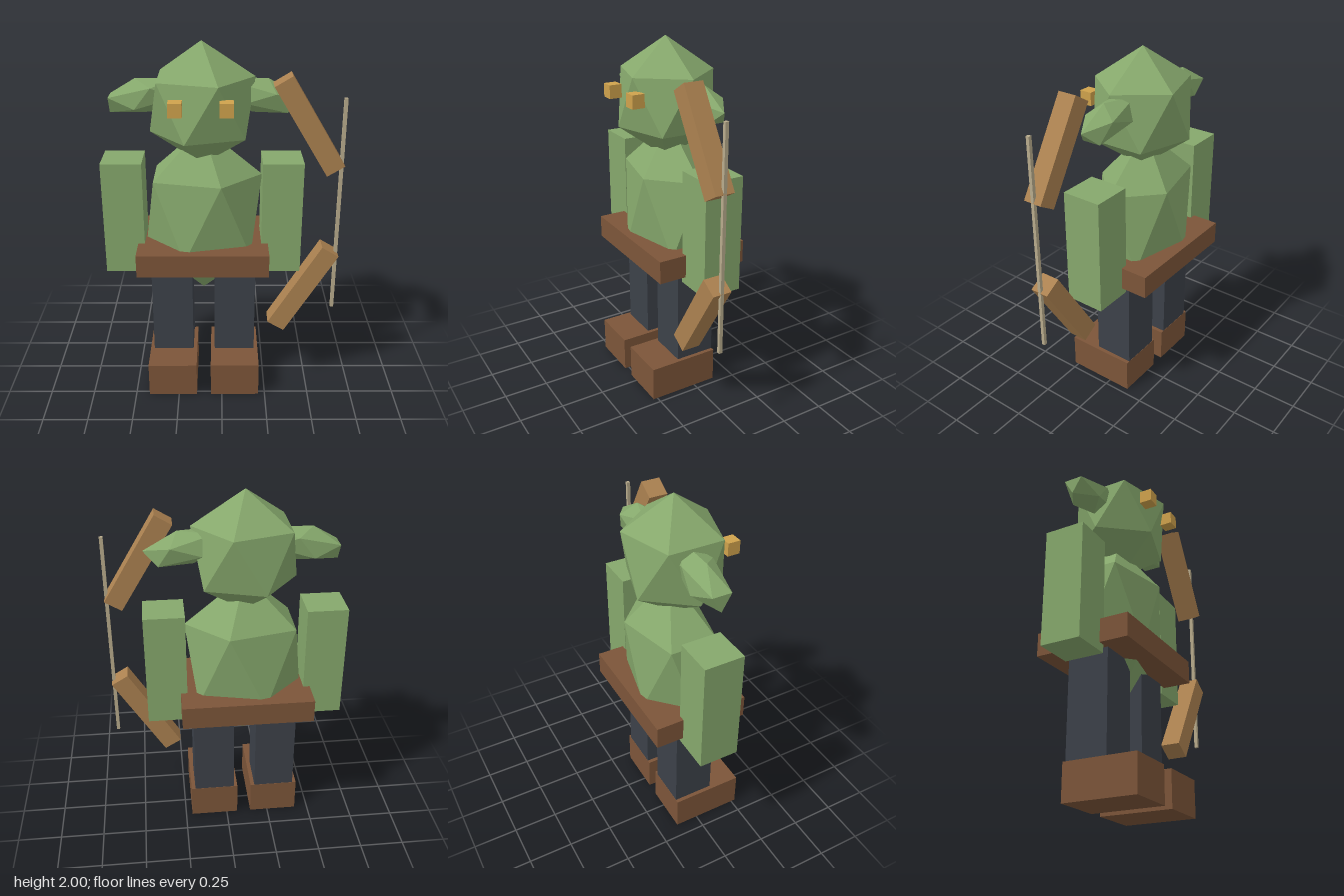
import * as THREE from 'three';

const mat = (color) => new THREE.MeshStandardMaterial({ color, flatShading: true });

// Unit 20-sided ball with poles on the y axis: pole, two staggered rings of five, pole
function facetedBall() {
  const h = 1 / Math.sqrt(5), r = 2 * h, step = (Math.PI * 2) / 5;
  const ring = (y, turn) => (k) =>
    [r * Math.cos((k % 5) * step + turn), y, r * Math.sin((k % 5) * step + turn)];
  const up = ring(h, 0), low = ring(-h, step / 2);
  const top = [0, 1, 0], bottom = [0, -1, 0], pos = [];
  for (let k = 0; k < 5; k++) {
    pos.push(...top, ...up(k + 1), ...up(k));
    pos.push(...up(k), ...up(k + 1), ...low(k));
    pos.push(...low(k), ...up(k + 1), ...low(k + 1));
    pos.push(...bottom, ...low(k), ...low(k + 1));
  }
  const geo = new THREE.BufferGeometry();
  geo.setAttribute('position', new THREE.Float32BufferAttribute(pos, 3));
  geo.computeVertexNormals();
  return geo;
}

export function createModel() {
  const model = new THREE.Group();
  model.name = 'goblinArcher';

  const skin = mat(0x86a86c), leather = mat(0x7c5539), cloth = mat(0x3c4149);
  const wood = mat(0xab8150), cord = mat(0xb8ab8c), gold = mat(0xcfa24c);
  const midX = -0.105;

  const add = (name, geo, material, x, y, z) => {
    const mesh = new THREE.Mesh(geo, material);
    mesh.name = name;
    mesh.position.set(x, y, z);
    model.add(mesh);
    return mesh;
  };
  const box = (name, material, w, h, d, x, y, z) =>
    add(name, new THREE.BoxGeometry(w, h, d), material, x, y, z);

  // Head and torso
  add('head', facetedBall().scale(0.313, 0.332, 0.289), skin, midX, 1.668, 0);
  add('torso', facetedBall().scale(0.365, 0.49, 0.256), skin, midX, 1.05, -0.018);

  for (const [side, s] of [['left', 1], ['right', -1]]) {
    // Long ears, tilted downwards at the outer end
    const tilt = new THREE.Matrix4().makeBasis(
      new THREE.Vector3(0.224, -s * 0.058, 0),
      new THREE.Vector3(s * 0.042, 0.09, 0),
      new THREE.Vector3(0, 0, 0.1)
    );
    const ear = facetedBall().applyMatrix4(tilt);
    ear.computeVertexNormals();
    add(side + 'Ear', ear, skin, midX + s * 0.308, 1.711, -0.02);

    // Eyes, arms, legs and boots
    box(side + 'Eye', gold, 0.07, 0.073, 0.07, midX + s * 0.128, 1.712, 0.252);
    box(side + 'Arm', skin, 0.222, 0.645, 0.222, midX + s * 0.436, 1.042, -0.021);
    box(side + 'Leg', cloth, 0.232, 0.68, 0.23, midX + s * 0.179, 0.46, -0.016);
    box(side + 'Boot', leather, 0.277, 0.2, 0.407, midX + s * 0.179, 0.1, 0.071);
  }

  box('belt', leather, 0.723, 0.13, 0.535, midX, 0.83, -0.019);

  // Bow: two slanted limbs and a string
  for (const [name, s] of [['upperBowLimb', 1], ['lowerBowLimb', -1]]) {
    const limb = box(name, wood, 0.108, 0.557, 0.108, 0.453, 1.115 + s * 0.475, 0.115);
    limb.rotation.z = s * 0.545;
  }
  box('bowString', cord, 0.019, 1.225, 0.019, 0.633, 1.118, 0.115);

  return model;
}
